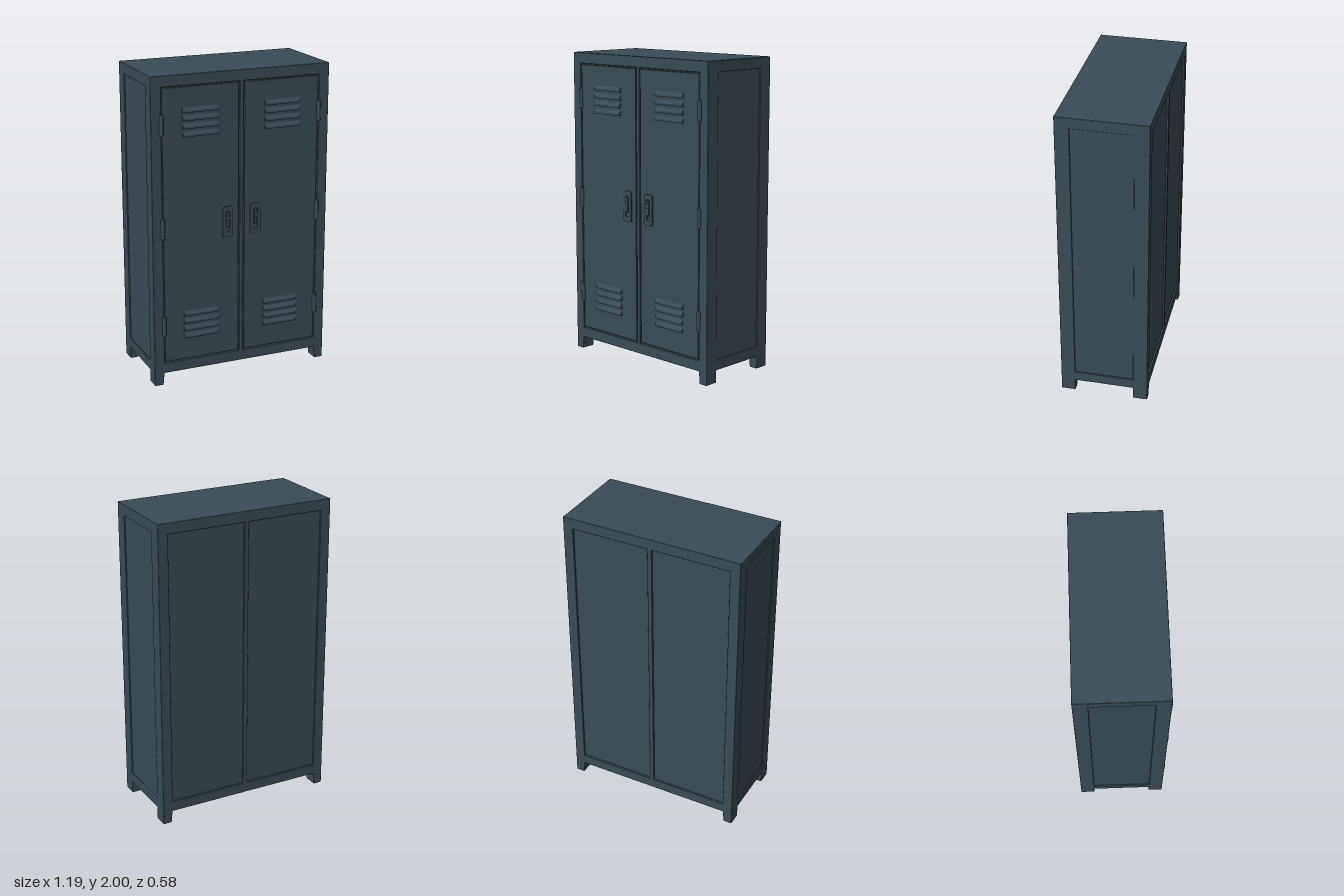
import * as THREE from 'three';
import { RoundedBoxGeometry } from 'three/addons/geometries/RoundedBoxGeometry.js';

export function createModel() {
  const model = new THREE.Group();
  model.name = 'locker';
  const steel = new THREE.MeshStandardMaterial({ color: 0x3a4b54 });
  steel.name = 'slateSteel';

  const W = 0.597, FRONT = 0.277, BACK = -0.293, BASE = 0.08;

  function add(name, geometry, parent = model) {
    const mesh = new THREE.Mesh(geometry, steel);
    mesh.name = name;
    parent.add(mesh);
    return mesh;
  }
  // Box given by its extents, with softened edges of radius r
  function block(name, x0, x1, y0, y1, z0, z1, r = 0.004, parent = model) {
    const g = r
      ? new RoundedBoxGeometry(x1 - x0, y1 - y0, z1 - z0, 2, r)
      : new THREE.BoxGeometry(x1 - x0, y1 - y0, z1 - z0);
    g.translate((x0 + x1) / 2, (y0 + y1) / 2, (z0 + z1) / 2);
    return add(name, g, parent);
  }
  function roundedRect(path, w, h, r) {
    const x = w / 2, y = h / 2;
    path.moveTo(-x + r, -y);
    path.lineTo(x - r, -y);
    path.absarc(x - r, -y + r, r, -Math.PI / 2, 0);
    path.absarc(x - r, y - r, r, 0, Math.PI / 2);
    path.absarc(-x + r, y - r, r, Math.PI / 2, Math.PI);
    path.absarc(-x + r, -y + r, r, Math.PI, Math.PI * 1.5);
    return path;
  }

  // Inner shell: recessed side and back panels, and the floor of the door gaps
  block('innerShell', -W + 0.007, W - 0.007, BASE + 0.003, 1.99, BACK + 0.012, 0.258, 0);

  // Frame: top and bottom slabs, corner posts, centre dividers
  block('topSlab', -W, W, 1.93, 2, BACK, FRONT);
  block('bottomSlab', -W, W, BASE, 0.148, BACK, FRONT);
  for (const s of [-1, 1]) {
    const [x0, x1] = s > 0 ? [0.53, W] : [-W, -0.53];
    block('frontPost', x0, x1, BASE, 2, 0.185, FRONT);
    block('backPost', x0, x1, BASE, 2, BACK, -0.2);
  }
  block('frontDivider', -0.013, 0.013, 0.11, 1.96, 0.24, FRONT - 0.001);
  block('backDivider', -0.015, 0.015, 0.11, 1.96, BACK, -0.25);

  // Legs, slightly tapered on the inner face
  for (const s of [-1, 1]) {
    for (const [z0, z1] of [[0.185, FRONT], [BACK, -0.2]]) {
      const g = new RoundedBoxGeometry(0.067, 0.1, z1 - z0, 2, 0.004);
      const p = g.attributes.position;
      for (let i = 0; i < p.count; i++) {
        if (p.getX(i) * s < 0 && p.getY(i) < 0) p.setX(i, p.getX(i) + s * 0.009);
      }
      g.translate(s * (W - 0.0335), 0.05, (z0 + z1) / 2);
      add('leg', g);
    }
  }

  // One pressed louver: the sheet slopes outward to a lip along the bottom
  function louverGeometry() {
    const w = 0.25, h = 0.045, d = 0.02;
    const g = new THREE.BoxGeometry(w, h, d).toNonIndexed();
    const p = g.attributes.position;
    for (let i = 0; i < p.count; i++) {
      if (p.getZ(i) > 0) {
        p.setX(i, p.getX(i) * 0.93);
        if (p.getY(i) > 0) p.setY(i, -h / 2 + 0.012);
      }
    }
    g.computeVertexNormals();
    return g;
  }
  const louver = louverGeometry();

  // Handle plate with a slot
  const plateShape = roundedRect(new THREE.Shape(), 0.066, 0.194, 0.012);
  plateShape.holes.push(roundedRect(new THREE.Path(), 0.034, 0.14, 0.008));
  const plate = new THREE.ExtrudeGeometry(plateShape, {
    depth: 0.008, bevelEnabled: true, bevelSize: 0.003, bevelThickness: 0.003,
    bevelSegments: 2, curveSegments: 5,
  });

  for (const s of [-1, 1]) {
    const door = new THREE.Group();
    door.name = s > 0 ? 'leftDoor' : 'rightDoor';
    model.add(door);
    const [x0, x1] = s > 0 ? [0.02, 0.524] : [-0.524, -0.02];
    block('doorPanel', x0, x1, 0.155, 1.923, 0.245, 0.275, 0.004, door);

    // Vents at the top and bottom of the door
    for (const y0 of [1.615, 0.3]) {
      for (let i = 0; i < 4; i++) {
        add('louver', louver, door).position.set(s * 0.275, y0 + 0.0225 + i * 0.05, 0.277);
      }
    }

    // Handle with its lever and pivot
    const handle = new THREE.Group();
    handle.name = 'handle';
    handle.position.set(s * 0.095, 1.04, 0);
    door.add(handle);
    add('handlePlate', plate, handle).position.z = 0.273;
    block('lever', -0.01, 0.01, -0.035, 0.062, 0.27, 0.289, 0.004, handle);
    block('leverGrip', -0.014, 0.014, 0.012, 0.04, 0.27, 0.291, 0.004, handle);
    const pivot = add('leverPivot', new THREE.CylinderGeometry(0.006, 0.006, 0.03, 12), handle);
    pivot.rotation.z = Math.PI / 2;
    pivot.position.set(0, 0.052, 0.282);

    // Hinges: barrel on a narrow leaf
    for (const y of [0.4, 1.045, 1.7]) {
      const hinge = new THREE.Group();
      hinge.name = 'hinge';
      hinge.position.set(s * 0.529, y, 0);
      door.add(hinge);
      const barrel = add('hingeBarrel', new THREE.CylinderGeometry(0.014, 0.014, 0.128, 16), hinge);
      barrel.position.z = 0.276;
    }
  }
  return model;
}
